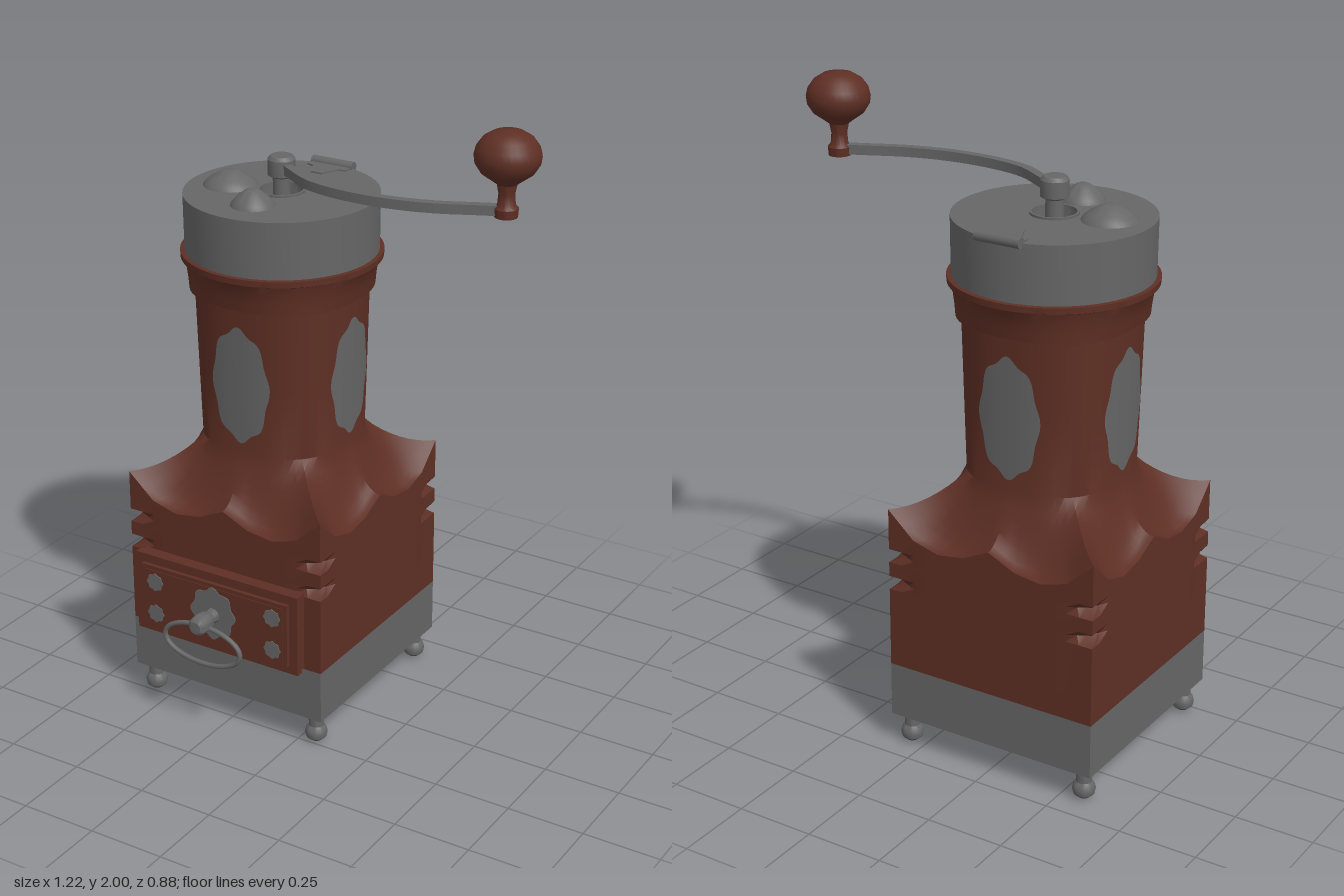
import * as THREE from 'three';
import { toCreasedNormals } from 'three/addons/utils/BufferGeometryUtils.js';

const CX = -0.258, CZ = -0.085, HALF = 0.355;

export function createModel() {
  const root = new THREE.Group();
  const wood = new THREE.MeshStandardMaterial({ color: 0x5e2f24 });
  wood.name = 'reddish wood';
  const metal = new THREE.MeshStandardMaterial({ color: 0x666666 });
  metal.name = 'grey metal';

  const add = (name, geo, mat, x = 0, y = 0, z = 0, parent = root) => {
    const m = new THREE.Mesh(geo, mat);
    m.name = name;
    m.position.set(x, y, z);
    parent.add(m);
    return m;
  };
  const box = (name, mat, w, h, d, x, y, z) => add(name, new THREE.BoxGeometry(w, h, d), mat, x, y, z);
  const lathe = (pts, seg = 32, crease = 0.6) =>
    toCreasedNormals(new THREE.LatheGeometry(pts.map(p => new THREE.Vector2(...p)), seg), crease);

  // Everything that sits on the mill's own axis
  const mill = new THREE.Group();
  mill.name = 'mill';
  mill.position.set(CX, 0, CZ);
  root.add(mill);

  // Feet
  const footGeo = lathe([[0, 0], [0.018, 0.004], [0.032, 0.016], [0.036, 0.032], [0.032, 0.047],
    [0.024, 0.057], [0.024, 0.1]], 20);
  for (const sx of [-1, 1]) for (const sz of [-1, 1]) add('foot', footGeo, metal, sx * 0.31, 0, sz * 0.31, mill);

  // Metal base
  add('base', new THREE.BoxGeometry(2 * HALF, 0.175, 2 * HALF), metal, 0, 0.1875, 0, mill);

  // Wooden body: rings of four sides, square below, rounded square above
  const SIDE = 16;
  const spin = (x, z, s) => [[x, z], [z, -x], [-x, -z], [-z, x]][s];
  const square = (u, s, cut) => {
    let x = u * HALF, z = HALF;
    const over = Math.abs(x) + z - (2 * HALF - cut);
    if (over > 0) { x -= Math.sign(x) * over / 2; z -= over / 2; }
    return spin(x, z, s);
  };
  const rounded = (u, s, h, n) => {
    const a = u * Math.PI / 4, sx = Math.sin(a), cz = Math.cos(a);
    const r = h / Math.pow(Math.pow(Math.abs(sx), n) + Math.pow(cz, n), 1 / n);
    return spin(sx * r, cz * r, s);
  };
  // Scalloped upper edge of the square part
  const EDGE = [0.745, 0.703, 0.69, 0.715, 0.795];
  const edgeY = u => {
    const t = Math.abs(u) * 4, i = Math.min(3, Math.floor(t));
    return THREE.MathUtils.lerp(EDGE[i], EDGE[i + 1], t - i);
  };
  const NECK_N = 2.55;
  const neckHalf = y => 0.24 + 0.013 * (y - 0.9) / 0.48;
  const rings = [];
  const ring = fn => rings.push(fn);
  for (const [y, cut] of [[0.275, 0], [0.53, 0], [0.552, 0.075], [0.574, 0], [0.62, 0], [0.642, 0.075], [0.664, 0]])
    ring((u, s) => { const p = square(u, s, cut); return [p[0], y, p[1]]; });
  for (let k = 0; k <= 8; k++) {
    const t = k / 8;
    ring((u, s) => {
      const a = square(u, s, 0), b = rounded(u, s, neckHalf(0.9), NECK_N), e = edgeY(u);
      return [a[0] + (b[0] - a[0]) * t, e + (0.9 - e) * t * t, a[1] + (b[1] - a[1]) * t];
    });
  }
  for (const [y, h, n] of [[1.14, neckHalf(1.14), NECK_N], [1.385, 0.253, NECK_N], [1.385, 0.273, 2.4],
    [1.42, 0.279, 2.3], [1.455, 0.287, 2.2], [1.482, 0.302, 2.05], [1.486, 0.313, 2], [1.505, 0.314, 2], [1.507, 0.28, 2]])
    ring((u, s) => { const p = rounded(u, s, h, n); return [p[0], y, p[1]]; });
  const pos = [], idx = [], N = SIDE * 4;
  rings.forEach((fn, r) => {
    for (let s = 0; s < 4; s++) for (let i = 0; i < SIDE; i++) pos.push(...fn(-1 + 2 * i / SIDE, s));
    if (r === 0) return;
    for (let i = 0; i < N; i++) {
      const a = (r - 1) * N + i, b = (r - 1) * N + (i + 1) % N;
      idx.push(a, b, b + N, a, b + N, a + N);
    }
  });
  const makeGeo = (p, i) => {
    const g = new THREE.BufferGeometry();
    g.setAttribute('position', new THREE.Float32BufferAttribute(p, 3));
    g.setIndex(i);
    return g;
  };
  add('body', toCreasedNormals(makeGeo(pos, idx), 0.55), wood, 0, 0, 0, mill);

  // Scalloped plaques that follow the four sides of the neck
  const pp = [], pi = [], A = 64, R = 5;
  for (let r = 0; r <= R; r++) for (let i = 0; i < A; i++) {
    const a = i / A * Math.PI * 2, k = r / R * (0.96 + 0.04 * Math.cos(8 * a));
    const x = 0.105 * k * Math.cos(a), y = 1.13 + 0.195 * k * Math.sin(a), h = neckHalf(y);
    pp.push(x, y, Math.pow(Math.pow(h, NECK_N) - Math.pow(Math.abs(x), NECK_N), 1 / NECK_N) + 0.005);
    if (r < R) {
      const p = r * A + i, q = r * A + (i + 1) % A;
      pi.push(p, p + A, q + A, p, q + A, q);
    }
  }
  const plaqueGeo = makeGeo(pp, pi);
  plaqueGeo.computeVertexNormals();
  for (let s = 0; s < 4; s++) add('neckPlaque', plaqueGeo, metal, 0, 0, 0, mill).rotation.y = s * Math.PI / 2;

  // Metal cap with a sunken well for the shaft
  add('cap', lathe([[0.3, 1.5], [0.302, 1.685], [0.072, 1.685], [0.07, 1.62], [0, 1.62]], 64), metal, 0, 0, 0, mill);
  add('wellRim', lathe([[0.073, 1.683], [0.073, 1.692], [0.066, 1.692], [0.066, 1.68]], 40), metal, 0, 0, 0, mill);

  // Bell-shaped bumps on the cap
  const bump = (r, h, x, z) => add('capBump', lathe([[r, 0], [r * 0.92, h * 0.22], [r * 0.72, h * 0.5], [r * 0.5, h * 0.72],
    [r * 0.32, h * 0.9], [r * 0.16, h * 0.98], [0, h]], 32, 1), metal, x, 1.685, z);
  bump(0.085, 0.047, -0.425, -0.055);
  bump(0.068, 0.052, CX, 0.075);

  // Hinge at the back of the cap
  const barrel = new THREE.CylinderGeometry(0.017, 0.017, 0.148, 16);
  barrel.rotateZ(Math.PI / 2);
  add('hingeBarrel', barrel, metal, CX, 1.688, -0.384);
  const leaf = new THREE.Shape([[-0.072, 0.384], [0.072, 0.384], [0.072, 0.345], [0.045, 0.335], [0.02, 0.28],
    [-0.02, 0.28], [-0.045, 0.335], [-0.072, 0.345]].map(p => new THREE.Vector2(...p)));
  const flat = (shape, depth) => new THREE.ExtrudeGeometry(shape, { depth, bevelEnabled: false }).rotateX(-Math.PI / 2);
  add('hingeLeaf', flat(leaf, 0.006), metal, CX, 1.684, 0);

  // Shaft and nut
  add('shaft', new THREE.CylinderGeometry(0.027, 0.027, 0.13, 24), metal, 0, 1.68, 0, mill);
  add('shaftNut', lathe([[0.026, 1.728], [0.043, 1.737], [0.043, 1.786], [0.034, 1.797], [0, 1.799]], 16), metal, 0, 0, 0, mill);

  // Curved crank arm
  const path = new THREE.CatmullRomCurve3([[-0.245, -0.08], [-0.19, -0.045], [-0.1, 0.01], [0, 0.035], [0.12, 0.041],
    [0.23, 0.028], [0.33, 0], [0.43, -0.045], [0.51, -0.08]].map(([x, z]) => new THREE.Vector3(x, -z, 0)));
  const left = [], right = [];
  for (let i = 0; i <= 28; i++) {
    const p = path.getPoint(i / 28), t = path.getTangent(i / 28);
    left.push(new THREE.Vector2(p.x - t.y * 0.014, p.y + t.x * 0.014));
    right.push(new THREE.Vector2(p.x + t.y * 0.014, p.y - t.x * 0.014));
  }
  add('crankArm', toCreasedNormals(flat(new THREE.Shape([...right, ...left.reverse()]), 0.03), 0.6), metal, 0, 1.746, 0);

  // Wooden knob
  add('crankKnob', lathe([[0, 1.741], [0.034, 1.741], [0.036, 1.768], [0.027, 1.778], [0.024, 1.81], [0.03, 1.84],
    [0.05, 1.855], [0.078, 1.875], [0.095, 1.902], [0.098, 1.925], [0.092, 1.95], [0.074, 1.975], [0.045, 1.993], [0, 2]],
  32, 0.7), wood, 0.51, 0, -0.08);

  // Drawer front in stepped layers
  box('drawerBody', wood, 0.59, 0.262, 0.03, CX, 0.412, 0.28);
  box('drawerFront', wood, 0.605, 0.272, 0.026, CX, 0.413, 0.307);
  box('drawerPanel', wood, 0.545, 0.215, 0.014, CX, 0.412, 0.326);
  box('drawerInset', wood, 0.515, 0.188, 0.003, CX, 0.412, 0.334);

  // Scalloped metal rosettes
  const rosette = (name, rx, ry, x, y) => {
    const pts = [];
    for (let i = 0; i < 64; i++) {
      const a = i / 64 * Math.PI * 2, k = 0.93 + 0.07 * Math.cos(8 * a);
      pts.push(new THREE.Vector2(rx * k * Math.cos(a), ry * k * Math.sin(a)));
    }
    add(name, new THREE.ExtrudeGeometry(new THREE.Shape(pts), { depth: 0.003, bevelEnabled: false }), metal, x, y, 0.3355);
  };
  for (const sx of [-1, 1]) for (const sy of [-1, 1]) rosette('drawerRosette', 0.031, 0.031, CX + sx * 0.22, 0.41 + sy * 0.056);
  rosette('drawerMedallion', 0.085, 0.092, CX, 0.418);

  // Drawer pull: post and hanging ring
  const post = lathe([[0.026, 0.33], [0.022, 0.36], [0.03, 0.375], [0.033, 0.4], [0.03, 0.425], [0.02, 0.435], [0, 0.436]], 24);
  post.rotateX(Math.PI / 2);
  add('pullPost', post, metal, CX, 0.412, 0);
  const loop = [];
  for (let i = 0; i < 24; i++) {
    const a = i / 24 * Math.PI * 2;
    loop.push(new THREE.Vector3(0.141 * Math.cos(a), 0.067 * Math.sin(a), 0));
  }
  add('pullRing', new THREE.TubeGeometry(new THREE.CatmullRomCurve3(loop, true), 64, 0.008, 8, true), metal, CX, 0.337, 0.398);

  return root;
}
